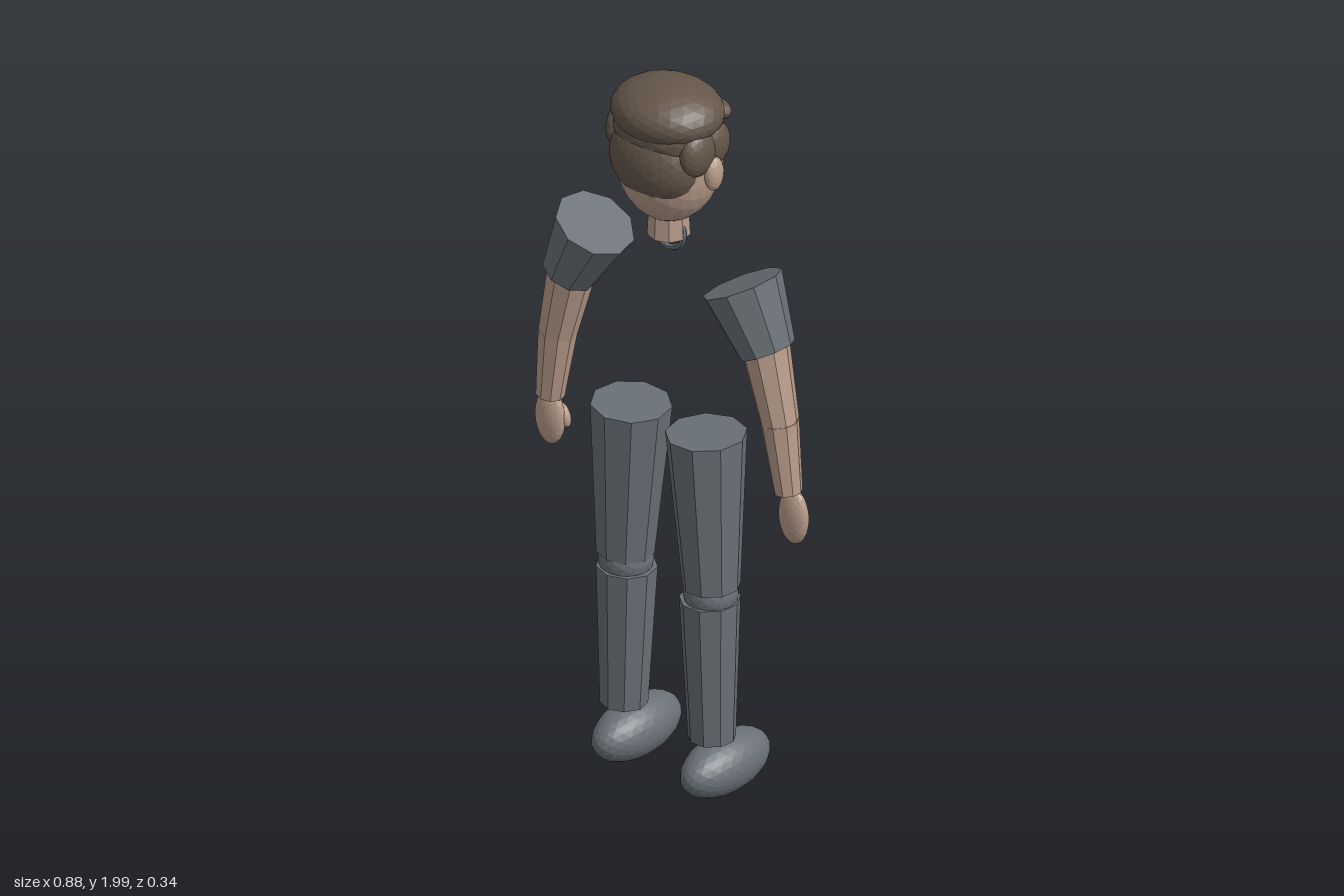
import * as THREE from 'three';

const mat = (name, color) => {
  const m = new THREE.MeshStandardMaterial({ color, flatShading: true });
  m.name = name;
  return m;
};

export function createModel() {
  const root = new THREE.Group();
  root.name = 'figure';
  const cloth = mat('slate cloth', 0x697076);
  const skin = mat('skin', 0xb89c8b);
  const hair = mat('brown hair', 0x65564a);
  const white = mat('eye white', 0xc9c5c0);
  const dark = mat('dark pupil', 0x2c2724);
  const lip = mat('lip', 0x6d4640);

  const add = (name, geo, material) => {
    const m = new THREE.Mesh(geo, material);
    m.name = name;
    root.add(m);
    return m;
  };
  // Faceted ellipsoid: centre, radii
  const blob = (name, material, c, r, detail = 3) => {
    const m = add(name, new THREE.IcosahedronGeometry(1, detail), material);
    m.position.set(...c);
    m.scale.set(...r);
    return m;
  };
  // Tapered faceted limb from a (radius ra) to b (radius rb)
  const limb = (name, material, a, b, ra, rb, turn = 0, sides = 9) => {
    const A = new THREE.Vector3(...a), B = new THREE.Vector3(...b);
    const dir = A.clone().sub(B);
    const geo = new THREE.CylinderGeometry(ra, rb, dir.length(), sides).rotateY(turn);
    const m = add(name, geo, material);
    m.position.copy(A).add(B).multiplyScalar(0.5);
    m.quaternion.setFromUnitVectors(new THREE.Vector3(0, 1, 0), dir.normalize());
    return m;
  };

  // Head, hair cap, back hair and swept fringe; the face looks toward -z
  blob('head', skin, [0, 1.79, 0.028], [0.138, 0.18, 0.134], 4);
  blob('hairCap', hair, [0, 1.92, 0.034], [0.15, 0.079, 0.132], 4);
  blob('backHair', hair, [0, 1.8, 0.084], [0.13, 0.115, 0.086], 4);
  blob('crownHair', hair, [0, 1.875, 0.055], [0.138, 0.085, 0.1]);
  blob('fringe', hair, [0.02, 1.895, -0.066], [0.1, 0.036, 0.042]).rotation.z = 0.12;
  blob('fringeSide', hair, [-0.065, 1.885, -0.058], [0.05, 0.036, 0.036]).rotation.z = 0.3;

  // Neck and collar ring
  limb('neck', skin, [0, 1.66, 0.03], [0, 1.565, 0.03], 0.05, 0.055);
  const collar = add('collar', new THREE.TorusGeometry(0.05, 0.008, 6, 20), cloth);
  collar.position.set(0, 1.575, 0.03);

  // Nose and mouth
  blob('noseBridge', skin, [0, 1.78, -0.106], [0.014, 0.034, 0.013], 2);
  blob('noseTip', skin, [0, 1.758, -0.112], [0.021, 0.016, 0.018], 2);
  blob('upperLip', lip, [0, 1.713, -0.096], [0.036, 0.007, 0.011], 2);
  blob('lowerLip', lip, [0, 1.703, -0.092], [0.027, 0.007, 0.011], 2);

  for (const s of [1, -1]) {
    const side = s > 0 ? 'left' : 'right';
    const turn = s > 0 ? Math.PI : 0;

    // Ears, side locks, eyes and brows
    blob(side + 'Ear', skin, [s * 0.146, 1.785, 0.029], [0.02, 0.047, 0.03], 2);
    blob(side + 'SideLock', hair, [s * 0.118, 1.848, 0.06], [0.036, 0.065, 0.06]);
    blob(side + 'Sideburn', hair, [s * 0.122, 1.85, 0.0], [0.03, 0.06, 0.052]);
    blob(side + 'Eye', white, [s * 0.05, 1.808, -0.091], [0.024, 0.015, 0.012], 2);
    blob(side + 'Pupil', dark, [s * 0.05, 1.808, -0.101], [0.01, 0.011, 0.005], 2);
    blob(side + 'Brow', hair, [s * 0.052, 1.834, -0.092], [0.03, 0.006, 0.009], 2).rotation.z = -s * 0.12;

    // Arm: sleeve, upper arm, forearm, hand, thumb
    limb(side + 'Sleeve', cloth, [s * 0.237, 1.504, 0.03], [s * 0.318, 1.343, 0.03], 0.106, 0.074, turn);
    limb(side + 'UpperArm', skin, [s * 0.312, 1.352, 0.03], [s * 0.358, 1.155, 0.03], 0.063, 0.05, turn);
    blob(side + 'Elbow', skin, [s * 0.358, 1.155, 0.03], [0.047, 0.047, 0.047], 2);
    limb(side + 'Forearm', skin, [s * 0.358, 1.155, 0.03], [s * 0.384, 0.962, 0.028], 0.05, 0.037, turn);
    blob(side + 'Hand', skin, [s * 0.393, 0.89, 0.017], [0.045, 0.078, 0.025]);
    blob(side + 'Thumb', skin, [s * 0.36, 0.9, 0.004], [0.017, 0.034, 0.016], 2).rotation.z = -s * 0.4;

    // Leg: thigh, knee, shin, shoe
    limb(side + 'Thigh', cloth, [s * 0.121, 1.035, 0.03], [s * 0.139, 0.607, 0.031], 0.104, 0.074, turn);
    blob(side + 'Knee', cloth, [s * 0.137, 0.588, 0.031], [0.07, 0.07, 0.07]);
    limb(side + 'Shin', cloth, [s * 0.134, 0.568, 0.031], [s * 0.142, 0.175, 0.033], 0.078, 0.061, turn);
    blob(side + 'Shoe', cloth, [s * 0.143, 0.08, -0.017], [0.076, 0.077, 0.151], 4);
  }
  return root;
}
